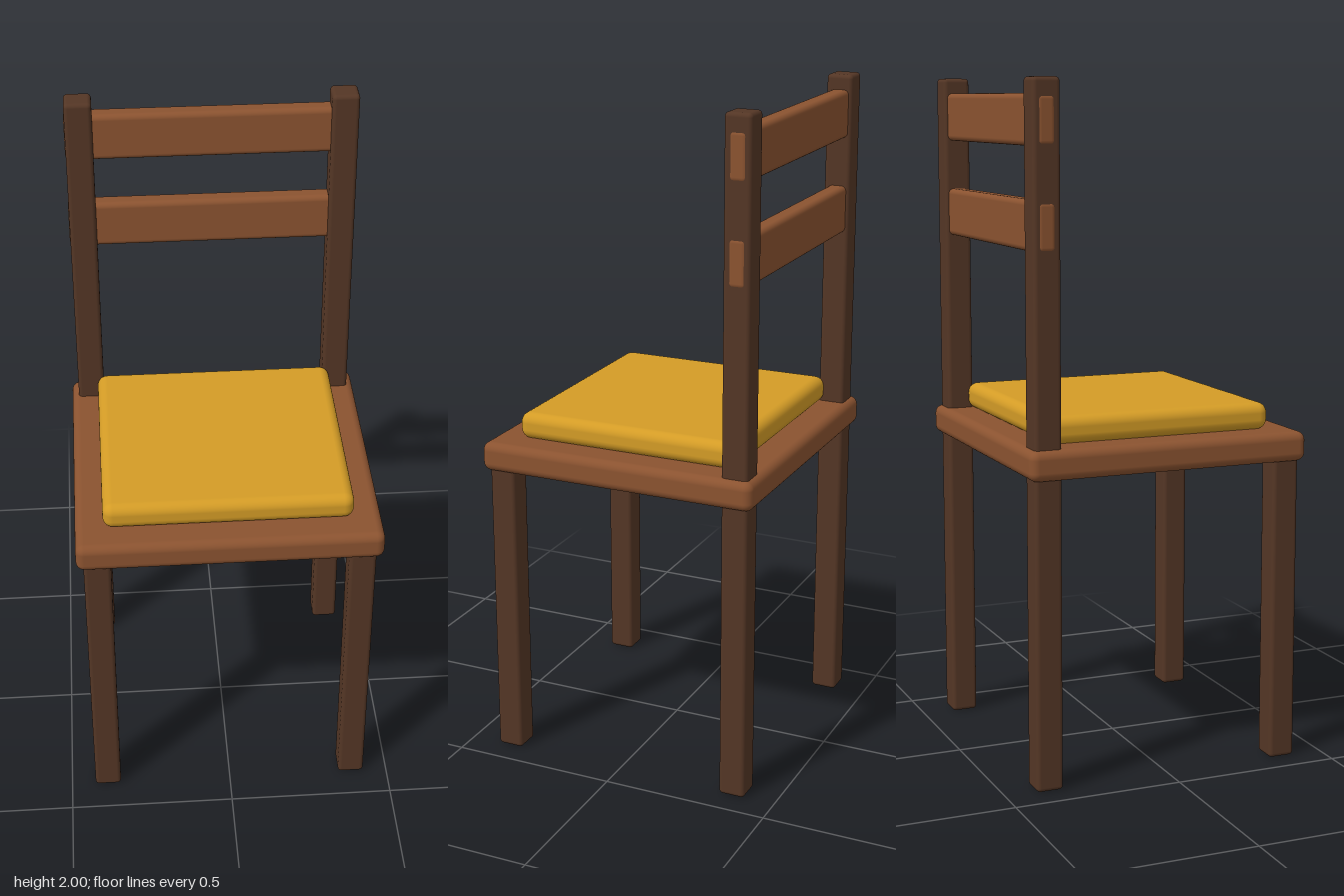
import * as THREE from 'three';
import { RoundedBoxGeometry } from 'three/addons/geometries/RoundedBoxGeometry.js';

function material(name, color) {
  const m = new THREE.MeshStandardMaterial({ color });
  m.name = name;
  return m;
}

export function createModel() {
  const chair = new THREE.Group();
  chair.name = 'chair';
  const darkWood = material('dark wood', 0x543625);
  const warmWood = material('warm wood', 0x8b5330);
  const fabric = material('mustard fabric', 0xd49c26);

  // Rounded block given by its size, centre x and z, and bottom height
  function block(name, mat, [w, h, d], [x, bottom, z], radius) {
    const mesh = new THREE.Mesh(new RoundedBoxGeometry(w, h, d, 4, radius), mat);
    mesh.name = name;
    mesh.position.set(x, bottom + h / 2, z);
    chair.add(mesh);
  }

  // Front legs stop under the seat, back posts run up to the full height
  for (const [side, x] of [['left', 0.386], ['right', -0.386]]) {
    block(`${side}FrontLeg`, darkWood, [0.08, 0.92, 0.08], [x, 0, 0.37], 0.012);
    block(`${side}BackPost`, darkWood, [0.08, 2, 0.08], [x, 0, -0.368], 0.012);
  }

  // Seat board and cushion
  block('seat', warmWood, [0.894, 0.087, 0.854], [0, 0.9, 0], 0.025);
  block('cushion', fabric, [0.73, 0.08, 0.69], [0, 0.985, 0], 0.03);

  // Back slats, their ends just showing through the posts
  block('upperSlat', warmWood, [0.856, 0.142, 0.058], [0, 1.814, -0.369], 0.016);
  block('lowerSlat', warmWood, [0.856, 0.142, 0.058], [0, 1.527, -0.369], 0.016);

  return chair;
}
